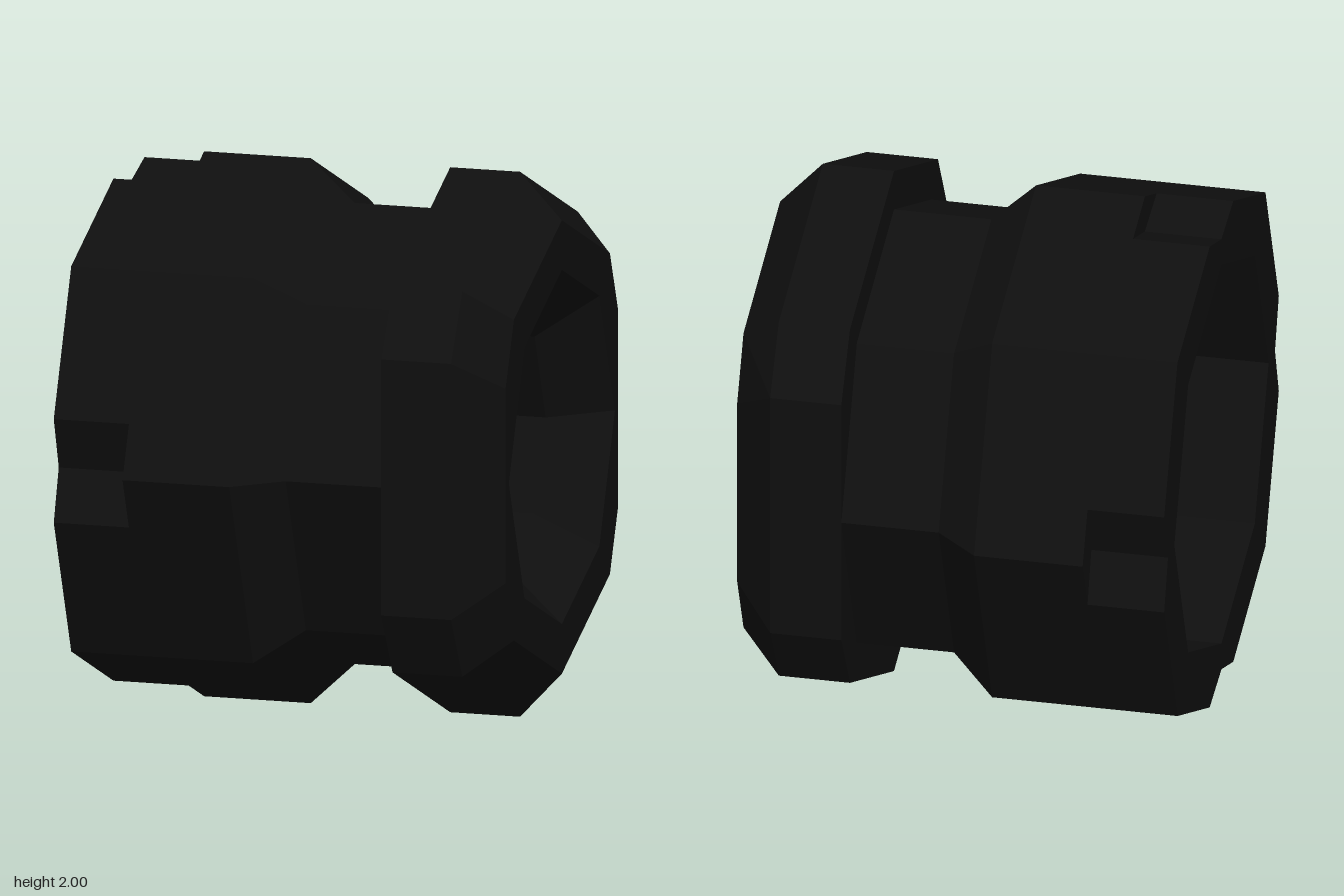
import * as THREE from 'three';

const T = Math.tan(Math.PI / 8);

// One octagonal section around the x axis: 4 axis corners (each as edge, apex, edge) plus 4 diagonal corners.
// notch sinks the axis corners; side = [halfWidth, distance] flattens the front and back corners.
function ring(x, r, { notch, side } = {}) {
  const points = [];
  for (let k = 0; k < 4; k++) {
    const c = Math.cos(k * Math.PI / 2), s = Math.sin(k * Math.PI / 2);
    const put = (u, v) => points.push(new THREE.Vector3(x, 1 + v * c - u * s, v * s + u * c));
    const flat = side && k % 2 === 1;
    const w = flat ? side[0] : 0.19;
    const edge = flat ? side[1] : r - w * T;
    put(-w, edge);
    put(0, flat ? side[1] : notch ?? r);
    put(w, edge);
    put(r * Math.SQRT1_2, r * Math.SQRT1_2);
  }
  return points;
}

// Flat-shaded skin through successive sections
function loft(rings) {
  const out = [];
  const tri = new THREE.Triangle();
  const add = (a, b, c) => {
    tri.set(a, b, c);
    if (tri.getArea() > 1e-7) out.push(...a.toArray(), ...b.toArray(), ...c.toArray());
  };
  for (let j = 0; j < rings.length - 1; j++) {
    const p = rings[j], q = rings[j + 1], n = p.length;
    for (let i = 0; i < n; i++) {
      const m = (i + 1) % n;
      add(p[i], p[m], q[m]);
      add(p[i], q[m], q[i]);
    }
  }
  const g = new THREE.BufferGeometry();
  g.setAttribute('position', new THREE.Float32BufferAttribute(out, 3));
  g.computeVertexNormals();
  return g;
}

export function createModel() {
  const group = new THREE.Group();
  const black = new THREE.MeshStandardMaterial({ color: 0x0f0f0f, flatShading: true });
  black.name = 'black';
  const part = (name, ...rings) => {
    const mesh = new THREE.Mesh(loft(rings), black);
    mesh.name = name;
    group.add(mesh);
  };

  const L = 0.812;
  const notched = { notch: 0.86 };
  const flange = { side: [0.47, 0.846] };
  const lip = { side: [0.357, 0.69] };

  // Wide sleeve with four V notches at its open end
  part('sleeve', ring(-L, 1, notched), ring(-0.53, 1, notched), ring(-0.53, 1), ring(-0.13, 1));

  // Chamfer down to the narrower neck
  part('neck', ring(-0.13, 1), ring(0.035, 0.846), ring(0.393, 0.846));

  // Flange with flattened front and back, bevelled towards the end
  part('flange', ring(0.393, 0.846), ring(0.393, 1, flange), ring(0.655, 1, flange), ring(L, 0.832, lip));

  // End face and funnel into the narrow bore
  part('endFace', ring(L, 0.832, lip), ring(L, 0.65));
  part('funnel', ring(L, 0.65), ring(0.61, 0.46));
  part('narrowBore', ring(0.61, 0.46), ring(0.1, 0.46));

  // Inner step, wide bore and the rim of the open end
  part('wideBore', ring(0.1, 0.46), ring(0.1, 0.757), ring(-L, 0.757));
  part('rim', ring(-L, 0.757), ring(-L, 1, notched));

  return group;
}
